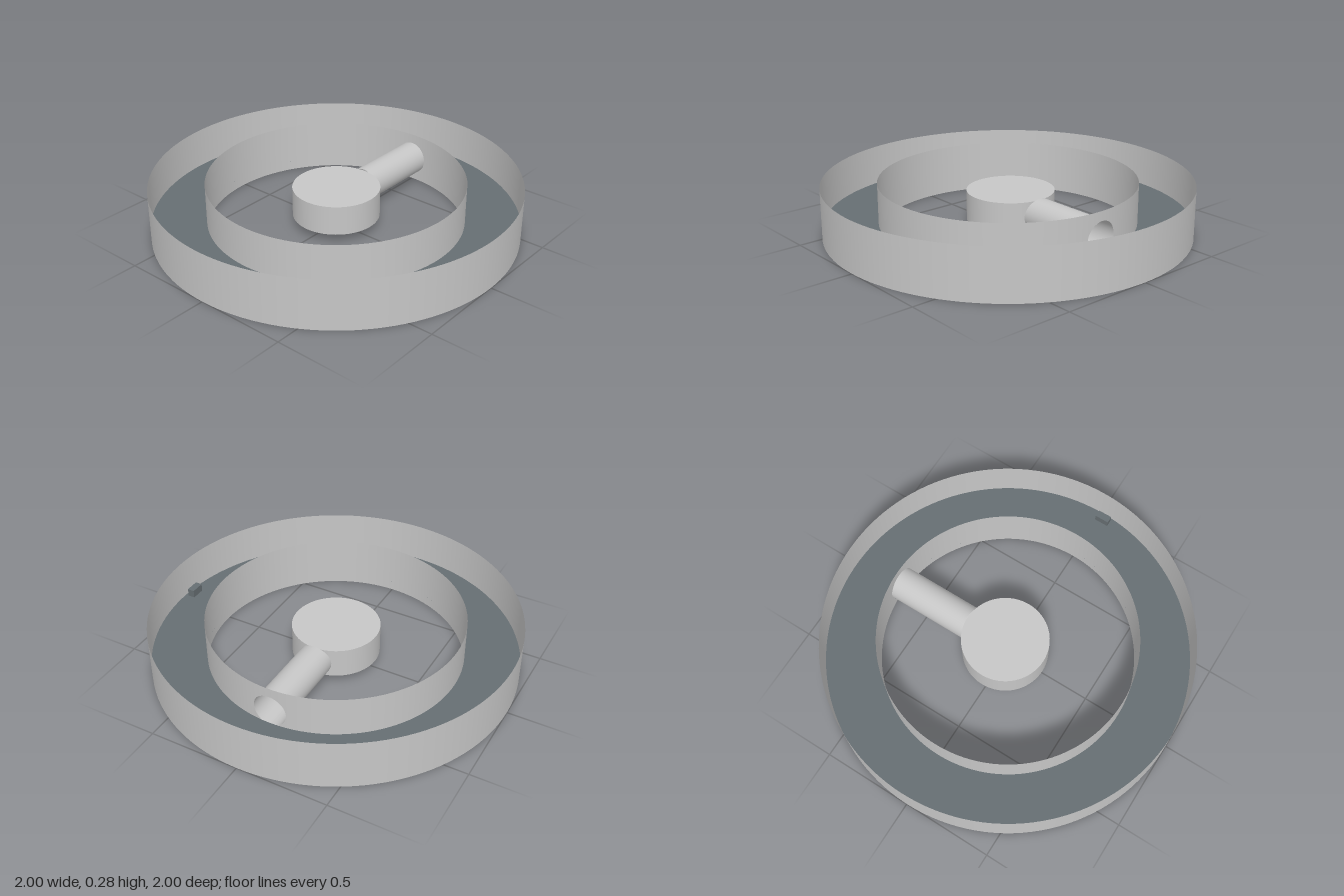
import * as THREE from 'three';

const H = 0.28, R_OUT = 1, R_IN = 0.7, FLOOR_Y = 0.055;
const HUB = { x: -0.008, z: -0.012, r: 0.238, y0: 0.055, y1: 0.22 };
const PIPE = { x: -0.007, y: 0.135, r: 0.092 };

export function createModel() {
  const metal = new THREE.MeshStandardMaterial({ color: 0xc6c6c6, side: THREE.DoubleSide });
  metal.name = 'light grey';
  const slate = new THREE.MeshStandardMaterial({ color: 0x666e72, side: THREE.DoubleSide });
  slate.name = 'slate grey';

  const model = new THREE.Group();
  model.name = 'ringTrough';
  const add = (name, geometry, material, x = 0, y = 0, z = 0, parent = model) => {
    const mesh = new THREE.Mesh(geometry, material);
    mesh.name = name;
    mesh.position.set(x, y, z);
    parent.add(mesh);
    return mesh;
  };
  // Applies a rule (x, y, z) -> [x, y, z] to every vertex
  const reshape = (geometry, rule) => {
    const p = geometry.attributes.position;
    for (let i = 0; i < p.count; i++) p.setXYZ(i, ...rule(p.getX(i), p.getY(i), p.getZ(i)));
    geometry.computeVertexNormals();
    return geometry;
  };

  // Outer wall
  add('outerWall', new THREE.CylinderGeometry(R_OUT, R_OUT, H, 128, 1, true), metal, 0, H / 2);

  // Inner wall, leaving a gap where the pipe opens into the trough
  const inner = new THREE.Group();
  inner.name = 'innerWall';
  model.add(inner);
  const a0 = Math.asin((PIPE.x - PIPE.r) / R_IN), a1 = Math.asin((PIPE.x + PIPE.r) / R_IN);
  add('wall', new THREE.CylinderGeometry(R_IN, R_IN, H, 112, 1, true,
    Math.PI - a0, Math.PI * 2 - (a1 - a0)), metal, 0, H / 2, 0, inner);

  // Wall pieces below and above the round opening
  for (const side of [-1, 1]) {
    const patch = reshape(new THREE.PlaneGeometry(2, 1, 32, 1), (u, v) => {
      const dx = PIPE.r * Math.sin(u * Math.PI / 2);
      const x = PIPE.x + dx;
      const rim = PIPE.y + side * Math.sqrt(Math.max(0, PIPE.r ** 2 - dx * dx));
      const y = side > 0 ? (v > 0 ? H : rim) : (v > 0 ? rim : 0);
      return [x, y, -Math.sqrt(R_IN ** 2 - x * x)];
    });
    add(side > 0 ? 'wallAboveOpening' : 'wallBelowOpening', patch, metal, 0, 0, 0, inner);
  }

  // Trough floor
  const floor = new THREE.RingGeometry(R_IN, R_OUT, 128);
  floor.rotateX(-Math.PI / 2);
  add('troughFloor', floor, slate, 0, FLOOR_Y);

  // Hub: side wall, flush top and slightly recessed underside
  const hub = new THREE.Group();
  hub.name = 'hub';
  hub.position.set(HUB.x, 0, HUB.z);
  model.add(hub);
  add('hubWall', new THREE.CylinderGeometry(HUB.r, HUB.r, HUB.y1 - HUB.y0, 64, 1, true),
    metal, 0, (HUB.y0 + HUB.y1) / 2, 0, hub);
  for (const [name, y, turn] of [['hubTop', HUB.y1, -1], ['hubBottom', HUB.y0 + 0.014, 1]]) {
    const disc = new THREE.CircleGeometry(HUB.r, 64);
    disc.rotateX(turn * Math.PI / 2);
    add(name, disc, metal, 0, y, 0, hub);
  }

  // Open pipe from hub to inner wall, its ends trimmed to both curves
  const pipe = new THREE.CylinderGeometry(PIPE.r, PIPE.r, 1, 48, 1, true);
  pipe.rotateX(Math.PI / 2);
  reshape(pipe, (px, py, pz) => {
    const x = px + PIPE.x;
    const z = pz > 0
      ? HUB.z - Math.sqrt(HUB.r ** 2 - (x - HUB.x) ** 2)
      : -Math.sqrt(R_IN ** 2 - x * x);
    return [x, py + PIPE.y, z];
  });
  add('pipe', pipe, metal);

  // Small block on the trough floor
  add('floorBlock', new THREE.BoxGeometry(0.04, 0.045, 0.08), slate, 0.962, FLOOR_Y + 0.0225, 0.04);

  return model;
}
